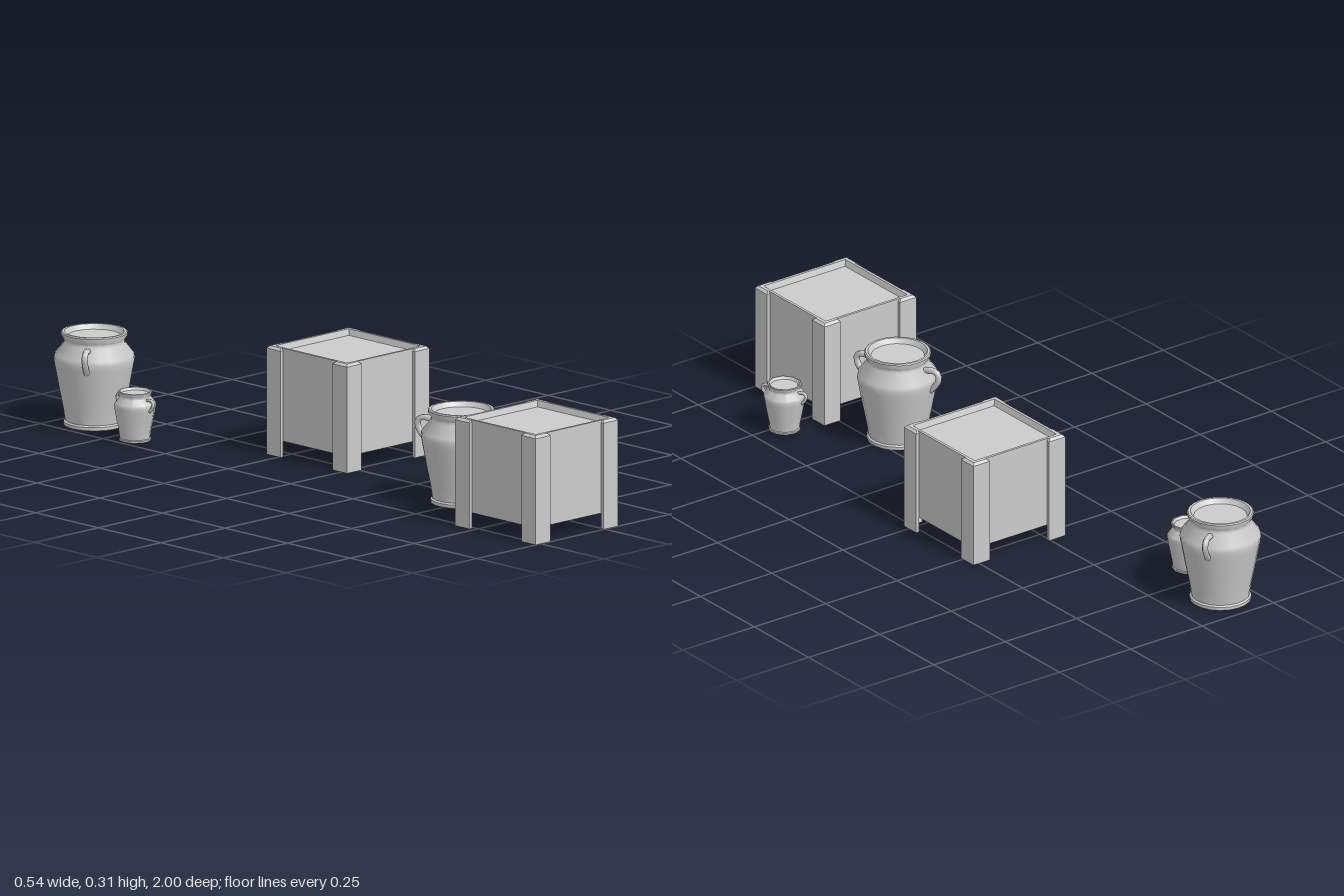
import * as THREE from 'three';
import { toCreasedNormals } from 'three/addons/utils/BufferGeometryUtils.js';

const material = new THREE.MeshStandardMaterial({ color: 0xcccccc });
const openMaterial = new THREE.MeshStandardMaterial({ color: 0xcccccc, side: THREE.DoubleSide });

function addMesh(parent, name, geometry, mat = material) {
  const mesh = new THREE.Mesh(geometry, mat);
  mesh.name = name;
  parent.add(mesh);
  return mesh;
}

function flat(geometry) {
  const g = geometry.index ? geometry.toNonIndexed() : geometry;
  g.computeVertexNormals();
  return g;
}

// Crate half sizes and heights
const OUTER = 0.161, WALL = 0.151, ARM = 0.104, BEVEL = 0.007;
const BASE = 0.045, SHOULDER = 0.305, TOP = 0.312;

// Upright L-shaped prism wrapped round the +x +z corner
function cornerPrism(y0, y1) {
  const shape = new THREE.Shape([
    [ARM, -OUTER], [OUTER, -OUTER], [OUTER, -ARM],
    [WALL, -ARM], [WALL, -WALL], [ARM, -WALL],
  ].map(([x, y]) => new THREE.Vector2(x, y)));
  const g = new THREE.ExtrudeGeometry(shape, { depth: y1 - y0, bevelEnabled: false });
  return g.rotateX(-Math.PI / 2).translate(0, y0, 0);
}

// Cap of the corner post: the top outline is drawn in to form a chamfer
function cornerCap() {
  const g = cornerPrism(SHOULDER, TOP);
  const p = g.attributes.position;
  const inset = (v) => {
    if (Math.abs(v - OUTER) < 1e-4) return v - BEVEL;
    if (Math.abs(v - ARM) < 1e-4) return v + BEVEL;
    return v;
  };
  for (let i = 0; i < p.count; i++) {
    if (p.getY(i) > TOP - 1e-4) {
      p.setX(i, inset(p.getX(i)));
      p.setZ(i, inset(p.getZ(i)));
    }
  }
  return flat(g);
}

function createCrate(x, z) {
  const crate = new THREE.Group();
  crate.name = 'crate';
  crate.position.set(x, 0, z);

  // Square box with a rim and a sunken lid, as a four-sided lathe
  const profile = [[0, BASE], [WALL, BASE], [WALL, TOP], [0.143, TOP], [0.137, 0.295], [0, 0.295]]
    .map(([r, y]) => new THREE.Vector2(r * Math.SQRT2, y));
  addMesh(crate, 'crateBody', flat(new THREE.LatheGeometry(profile, 4, Math.PI / 4)));

  const post = flat(cornerPrism(0, SHOULDER));
  const cap = cornerCap();
  for (let i = 0; i < 4; i++) {
    const leg = new THREE.Group();
    leg.name = 'crateLeg';
    leg.rotation.y = i * Math.PI / 2;
    addMesh(leg, 'legPost', post);
    addMesh(leg, 'legCap', cap);
    crate.add(leg);
  }
  return crate;
}

// Jar; (dx, dz) is the direction in which one of the two handles points
function createJar(x, z, dx, dz, scale, segments) {
  const jar = new THREE.Group();
  jar.name = 'jar';
  jar.position.set(x, 0, z);
  jar.scale.setScalar(scale);
  jar.rotation.y = Math.atan2(-dz, dx);

  // Foot ring, swelling body, shoulder, neck, flared rim and sunken lid
  const profile = [
    [0.083, 0], [0.087, 0.003], [0.087, 0.012], [0.082, 0.016],
    [0.087, 0.05], [0.099, 0.11], [0.111, 0.175], [0.114, 0.192], [0.112, 0.205],
    [0.086, 0.238], [0.085, 0.247], [0.094, 0.261], [0.094, 0.267], [0.091, 0.27],
    [0.084, 0.27], [0.075, 0.256], [0, 0.256],
  ].map(([r, y]) => new THREE.Vector2(r, y));
  const body = toCreasedNormals(new THREE.LatheGeometry(profile, segments), 0.7);
  addMesh(jar, 'jarBody', body, openMaterial);

  // Ear-shaped handles from neck to shoulder
  const path = new THREE.CatmullRomCurve3([
    [0.084, 0.229], [0.105, 0.234], [0.126, 0.231], [0.133, 0.215], [0.124, 0.192], [0.106, 0.171],
  ].map(([r, y]) => new THREE.Vector3(r, y, 0)));
  const handle = new THREE.TubeGeometry(path, 10, 0.009, 6);
  for (const turn of [0, Math.PI]) {
    addMesh(jar, 'jarHandle', handle).rotation.y = turn;
  }
  return jar;
}

export function createModel() {
  const model = new THREE.Group();
  model.name = 'cratesAndJars';
  model.add(
    createCrate(-0.109, 0.839),
    createCrate(0.109, -0.138),
    createJar(-0.063, 0.491, 0.38, 0.92, 1, 20),
    createJar(-0.15, -0.886, 0.83, -0.56, 1, 20),
    createJar(0.153, 0.73, 0.4, 0.92, 0.526, 10),
    createJar(-0.198, -0.674, 0.03, 1, 0.526, 10),
  );
  return model;
}
